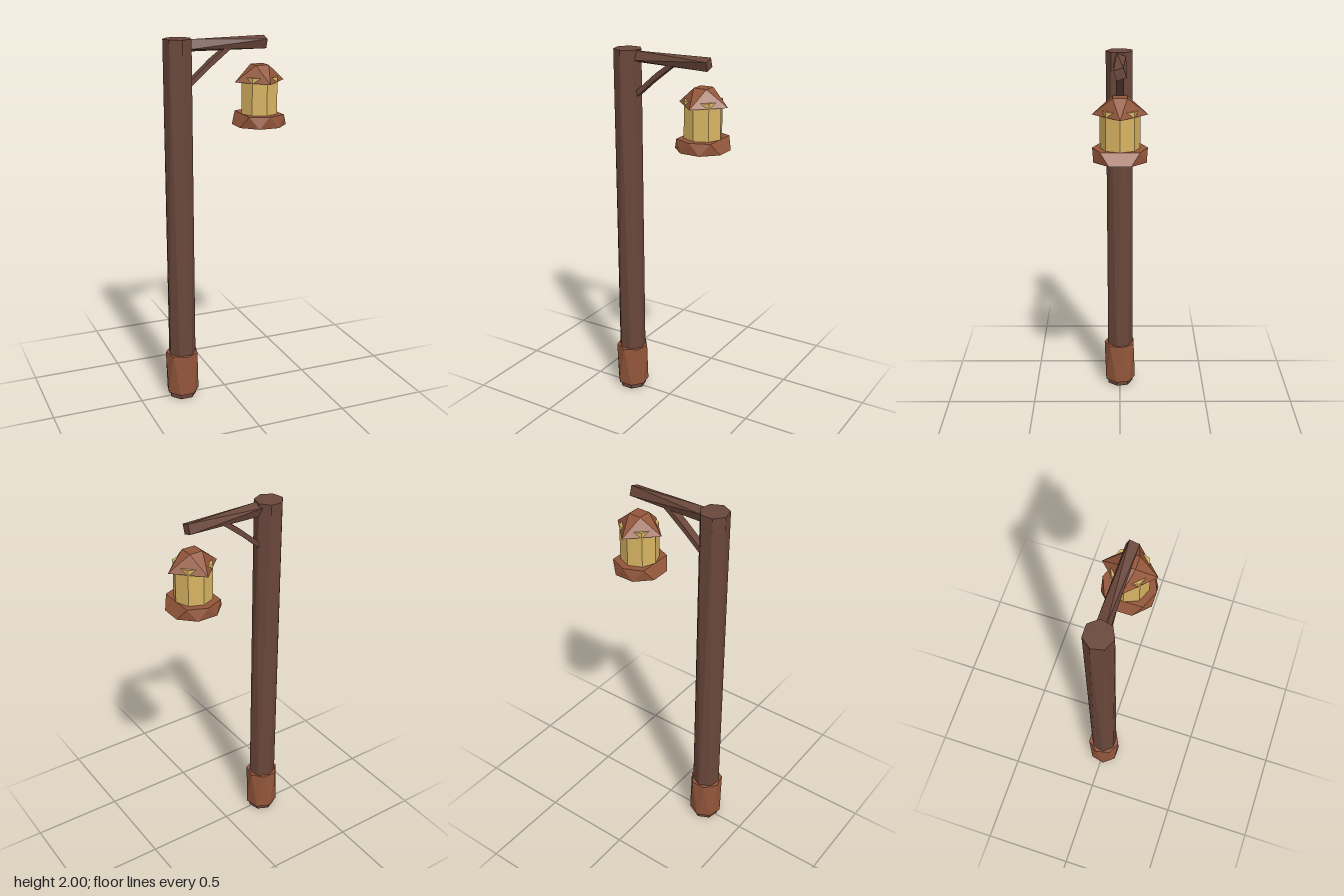
import * as THREE from 'three';
import { ConvexGeometry } from 'three/addons/geometries/ConvexGeometry.js';

const material = (name, color) => {
  const m = new THREE.MeshStandardMaterial({ color });
  m.name = name;
  return m;
};

// Regular ring of points in the ground plane; angle is measured from +z towards +x
function ring(n, r, y, angle = 0) {
  return Array.from({ length: n }, (_, i) => {
    const a = angle + (i / n) * Math.PI * 2;
    return new THREE.Vector3(Math.sin(a) * r, y, Math.cos(a) * r);
  });
}

export function createModel() {
  const group = new THREE.Group();
  const wood = material('dark wood', 0x69463a);
  const rust = material('rusty brown', 0x93563a);
  const glass = material('warm glass', 0xd8b463);

  const add = (name, geometry, mat, x = 0, y = 0) => {
    const mesh = new THREE.Mesh(geometry, mat);
    mesh.name = name;
    mesh.position.set(x, y, 0);
    group.add(mesh);
    return mesh;
  };
  // Faceted solid stretched between rings
  const hull = (...rings) => new ConvexGeometry(rings.flat());

  // Seven-sided post and foot collar, each twisted half a step
  const postX = -0.257;
  add('post', hull(ring(7, 0.076, 0, Math.PI), ring(7, 0.076, 2)), wood, postX);
  add('footCollar', hull(ring(7, 0.091, 0.03, Math.PI), ring(7, 0.091, 0.265)), rust, postX);

  // Four-sided twisted arm, built upright and laid along x
  const twist = Math.PI / 8;
  const arm = hull(ring(4, 0.037, -0.2, twist + 0.07), ring(4, 0.037, 0.23, -twist - 0.07));
  arm.rotateZ(-Math.PI / 2);
  add('arm', arm, wood, 0, 1.963);

  // Slightly bent brace under the arm
  const brace = new THREE.Shape([
    [-0.21, 1.738], [-0.1, 1.835], [0.02, 1.93], [0.065, 1.96],
    [0.02, 1.96], [-0.075, 1.89], [-0.21, 1.772],
  ].map(([x, y]) => new THREE.Vector2(x, y)));
  const braceGeometry = new THREE.ExtrudeGeometry(brace, { depth: 0.042, bevelEnabled: false });
  braceGeometry.translate(0, 0, -0.021);
  add('brace', braceGeometry, wood);

  // Lantern: tray, eight-sided glass and square roof turned a half step
  const lanternX = 0.2;
  const trayTop = ring(8, 0.141, 1.588).filter((p) => Math.abs(p.x) < 0.12);
  add('lanternTray', hull(ring(8, 0.145, 1.525, Math.PI / 8), trayTop), rust, lanternX);
  add('lanternGlass', hull(ring(8, 0.102, 1.56), ring(8, 0.102, 1.785)), glass, lanternX);
  add('lanternRoof', hull(ring(4, 0.142, 1.758), ring(4, 0.051, 1.846, Math.PI / 4)), rust, lanternX);

  return group;
}
